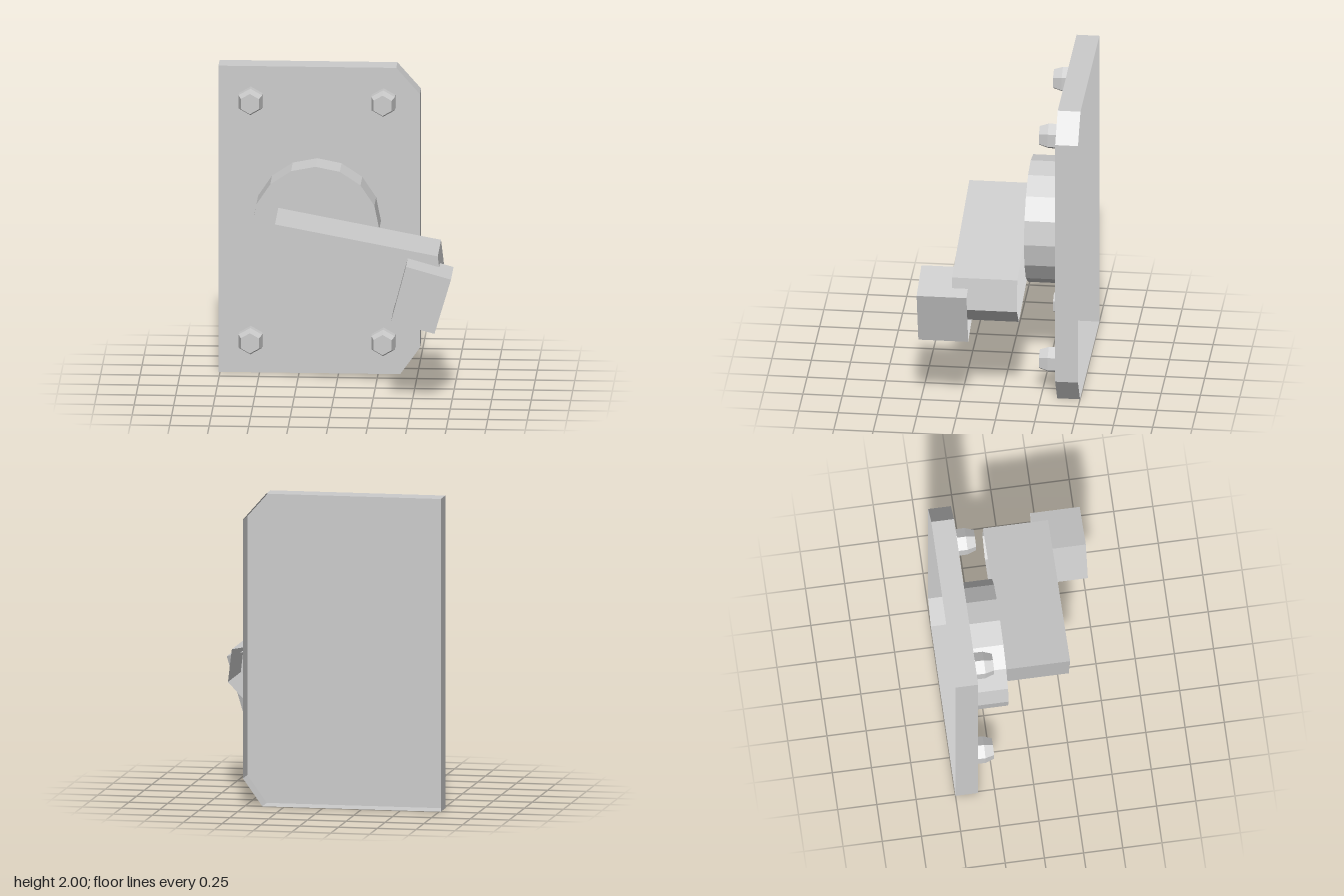
import * as THREE from 'three';

const grey = new THREE.MeshStandardMaterial({ color: 0xcccccc, side: THREE.DoubleSide, flatShading: true });
grey.name = 'lightGrey';

// Open-backed shell: rings of a convex outline from back to front, closed by a front cap.
// Each ring is { z, scale }; the outline runs anticlockwise as seen from +z.
function shell(name, outline, rings) {
  const n = outline.length;
  const pos = [];
  const at = (r, i) => [outline[i % n][0] * r.scale, outline[i % n][1] * r.scale, r.z];
  for (let k = 0; k < rings.length - 1; k++) {
    const back = rings[k], front = rings[k + 1];
    for (let i = 0; i < n; i++) {
      const a = at(back, i), b = at(back, i + 1), c = at(front, i + 1), d = at(front, i);
      pos.push(...a, ...b, ...c, ...a, ...c, ...d);
    }
  }
  const cap = rings[rings.length - 1];
  for (let i = 1; i < n - 1; i++) pos.push(...at(cap, 0), ...at(cap, i), ...at(cap, i + 1));
  const geo = new THREE.BufferGeometry();
  geo.setAttribute('position', new THREE.Float32BufferAttribute(pos, 3));
  geo.computeVertexNormals();
  const mesh = new THREE.Mesh(geo, grey);
  mesh.name = name;
  return mesh;
}

const straight = (back, front) => [{ z: back, scale: 1 }, { z: front, scale: 1 }];

// Regular polygon with a vertex pointing up
function polygon(sides, radius) {
  return Array.from({ length: sides }, (_, i) => {
    const a = Math.PI / 2 + (i / sides) * Math.PI * 2;
    return [Math.cos(a) * radius, Math.sin(a) * radius];
  });
}

export function createModel() {
  const model = new THREE.Group();
  model.name = 'leverPlate';

  // Wall plate with two clipped corners
  model.add(shell('plate',
    [[-0.76, 0], [0.39, 0], [0.515, 0.175], [0.515, 1.83], [0.365, 2], [-0.76, 2]],
    straight(-0.5, -0.355)));

  // Round hub
  const hub = shell('hub', polygon(16, 0.404), straight(-0.347, -0.13));
  hub.position.set(-0.135, 1.002, 0);
  model.add(hub);

  // Lever arm
  model.add(shell('arm',
    [[-0.37, 1.135], [-0.305, 0.735], [0.57, 0.608], [0.685, 0.73], [0.66, 0.94]],
    straight(-0.13, 0.285)));

  // Handle block at the end of the arm
  model.add(shell('handle',
    [[0.47, 0.925], [0.375, 0.563], [0.65, 0.49], [0.755, 0.845]],
    straight(0.183, 0.5)));

  // Four hex bolts with tapered heads
  for (const x of [-0.555, 0.285]) {
    for (const y of [0.22, 1.783]) {
      const bolt = shell('bolt', polygon(6, 0.086),
        [{ z: -0.347, scale: 1 }, { z: -0.29, scale: 1 }, { z: -0.233, scale: 0.77 }]);
      bolt.position.set(x, y, 0);
      model.add(bolt);
    }
  }
  return model;
}
